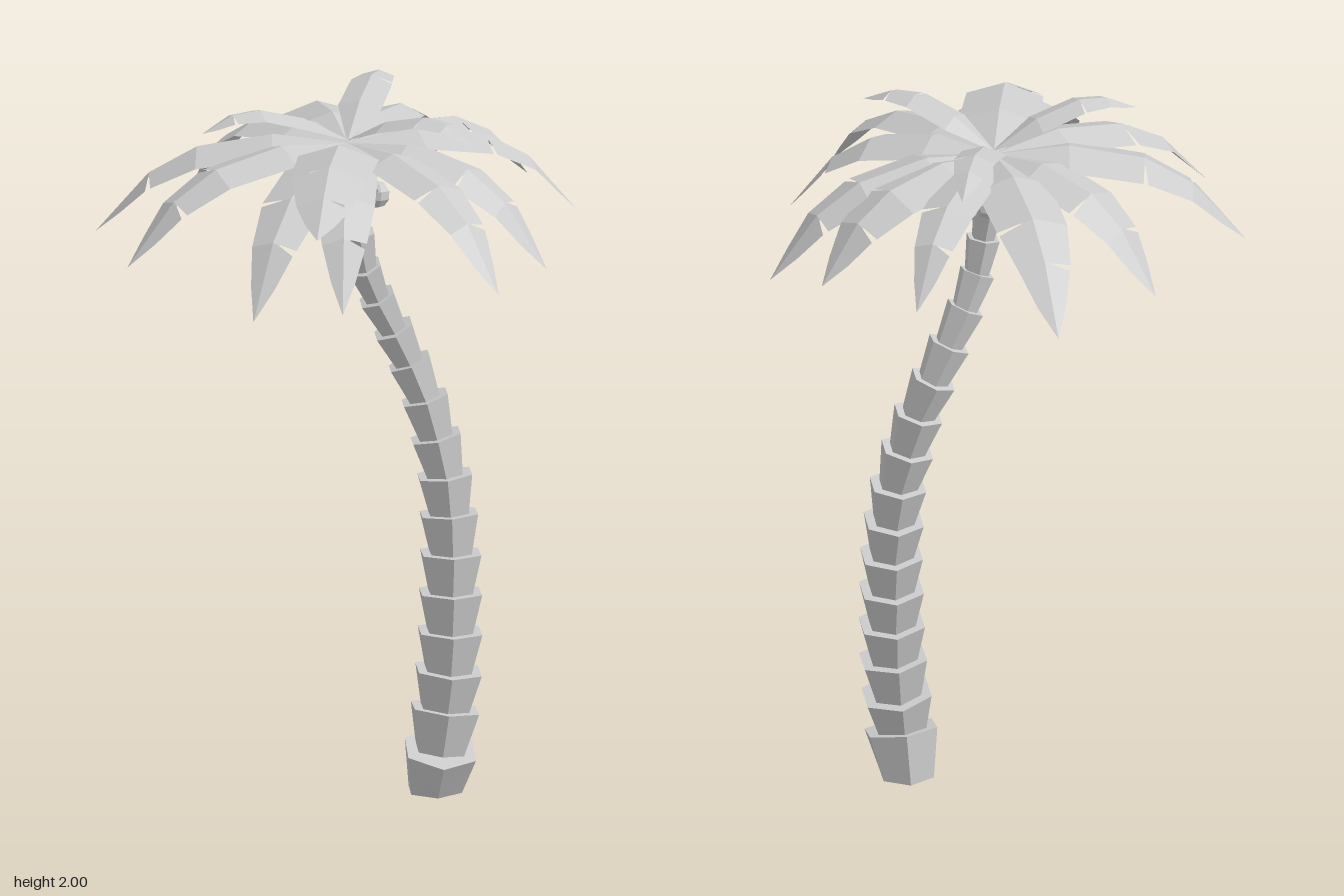
import * as THREE from 'three';

const bark = new THREE.MeshStandardMaterial({ color: 0xcccccc, flatShading: true });
const leafMat = new THREE.MeshStandardMaterial({ color: 0xcccccc, flatShading: true, side: THREE.DoubleSide });
const CROWN = new THREE.Vector3(0.05, 1.84, -0.025);

// Trunk joints: x, y, z, rim radius
const JOINTS = [
  [0.285, 0, -0.07, 0.1], [0.303, 0.125, -0.046, 0.108], [0.313, 0.235, -0.06, 0.103], [0.322, 0.345, -0.066, 0.1],
  [0.325, 0.455, -0.075, 0.097], [0.325, 0.565, -0.085, 0.095], [0.324, 0.675, -0.096, 0.092], [0.317, 0.785, -0.108, 0.088],
  [0.305, 0.895, -0.114, 0.083], [0.28, 1.005, -0.116, 0.077], [0.25, 1.115, -0.115, 0.072], [0.209, 1.22, -0.11, 0.066],
  [0.168, 1.32, -0.09, 0.061], [0.126, 1.42, -0.063, 0.055], [0.096, 1.515, -0.034, 0.051], [0.08, 1.615, -0.021, 0.049],
  [0.065, 1.72, -0.02, 0.045], [0.05, 1.85, -0.025, 0.04],
];

// One flared six-sided ring of bark between two joints
function trunkSegment(a, b, first) {
  const p = new THREE.Vector3(a[0], a[1], a[2]);
  const q = new THREE.Vector3(b[0], b[1], b[2]);
  const dir = q.clone().sub(p);
  const length = dir.length();
  const geo = new THREE.CylinderGeometry(b[3], b[3] * (first ? 0.75 : 0.7), length + (first ? 0 : 0.012), 6);
  geo.rotateY(Math.PI / 12);
  geo.applyQuaternion(new THREE.Quaternion().setFromUnitVectors(new THREE.Vector3(0, 1, 0), dir.normalize()));
  const mid = p.add(q).multiplyScalar(0.5);
  geo.translate(mid.x, mid.y, mid.z);
  if (first) {
    // Flatten the foot onto the ground
    const pos = geo.attributes.position;
    for (let i = 0; i < pos.count; i++) if (pos.getY(i) < 0.06) pos.setY(i, 0);
  }
  const mesh = new THREE.Mesh(geo, bark);
  mesh.name = 'trunkSegment';
  return mesh;
}

// Rib stations along a frond, and the height above the crown at each
const RIB_T = [0, 0.3, 0.6, 0.79, 1];
const DROOP = [0.04, 0.064, 0.026, -0.05, -0.22];
const ARCH = [0.05, 0.125, 0.162, 0.155, 0.11];
const MEDIUM = [0.04, 0.095, 0.092, 0.04, -0.04];

// Half-outlines as [t, width]; each side has one narrow slit
const SIDE_A = [[0, 0.06], [0.1, 0.38], [0.3, 1], [0.592, 0.95], [0.598, 0.3], [0.602, 0.3], [0.612, 0.92], [0.79, 0.68], [0.9, 0.38], [1, 0]];
const SIDE_B = [[0, 0.06], [0.1, 0.38], [0.3, 1], [0.6, 0.94], [0.78, 0.72], [0.787, 0.2], [0.791, 0.2], [0.801, 0.66], [0.9, 0.38], [1, 0]];

function riseAt(curve, t) {
  let i = 0;
  while (i < RIB_T.length - 2 && t > RIB_T[i + 1]) i++;
  return THREE.MathUtils.mapLinear(t, RIB_T[i], RIB_T[i + 1], curve[i], curve[i + 1]);
}

// Frond folded down along its rib, from the crown out to a tip
function frond([tx, ty, tz, halfWidth, curve]) {
  const dx = tx - CROWN.x, dz = tz - CROWN.z;
  const len = Math.hypot(dx, dz);
  const across = [-dz / len, dx / len];
  const fix = ty - CROWN.y - curve[4];
  const verts = [];
  const rib = (t) => [CROWN.x + dx * t, CROWN.y + riseAt(curve, t) + fix * t * t, CROWN.z + dz * t];
  for (const [side, outline] of [[1, SIDE_A], [-1, SIDE_B]]) {
    const edge = ([t, w]) => {
      const [x, y, z] = rib(t);
      const s = side * w * halfWidth;
      return [x + across[0] * s, y - 0.34 * w * halfWidth, z + across[1] * s];
    };
    for (let i = 0; i < outline.length - 1; i++) {
      const r0 = rib(outline[i][0]), r1 = rib(outline[i + 1][0]);
      const e0 = edge(outline[i]), e1 = edge(outline[i + 1]);
      if (side > 0) verts.push(...r0, ...e0, ...e1, ...r0, ...e1, ...r1);
      else verts.push(...r0, ...e1, ...e0, ...r0, ...r1, ...e1);
    }
  }
  const geo = new THREE.BufferGeometry();
  geo.setAttribute('position', new THREE.Float32BufferAttribute(verts, 3));
  geo.computeVertexNormals();
  const mesh = new THREE.Mesh(geo, leafMat);
  mesh.name = 'frond';
  return mesh;
}

// Frond tips: x, y, z, half width, rib curve
const FRONDS = [
  [-0.19, 1.625, -0.635, 0.105, DROOP], [-0.43, 1.625, -0.35, 0.092, DROOP], [-0.637, 1.615, 0.055, 0.103, DROOP],
  [-0.497, 1.63, 0.382, 0.092, DROOP], [-0.108, 1.58, 0.632, 0.092, DROOP], [0.134, 1.6, 0.595, 0.088, DROOP],
  [0.54, 1.62, 0.424, 0.085, DROOP], [0.63, 1.605, 0.15, 0.095, DROOP], [0.635, 1.615, -0.33, 0.095, DROOP],
  [0.48, 1.665, -0.458, 0.105, DROOP], [0.205, 1.665, -0.595, 0.078, DROOP],
  [0.055, 1.795, 0.545, 0.112, MEDIUM],
  [-0.325, 1.95, 0.16, 0.055, ARCH], [0.095, 1.93, -0.435, 0.062, ARCH], [0.425, 1.95, 0.14, 0.055, ARCH],
];

// Coconut positions
const NUTS = [[0.03, 1.735, 0.015], [0.1, 1.76, -0.015], [0.06, 1.75, -0.088], [0.125, 1.725, -0.055]];

export function createModel() {
  const model = new THREE.Group();
  model.name = 'palmTree';

  const trunk = new THREE.Group();
  trunk.name = 'trunk';
  for (let i = 0; i < JOINTS.length - 1; i++) trunk.add(trunkSegment(JOINTS[i], JOINTS[i + 1], i === 0));

  const crown = new THREE.Group();
  crown.name = 'crown';
  FRONDS.forEach((f) => crown.add(frond(f)));

  const coconuts = new THREE.Group();
  coconuts.name = 'coconuts';
  NUTS.forEach(([x, y, z], i) => {
    const nut = new THREE.Mesh(new THREE.SphereGeometry(0.038, 7, 5), bark);
    nut.name = 'coconut';
    nut.position.set(x, y, z);
    nut.rotation.set(i, i * 2, 0);
    coconuts.add(nut);
  });

  model.add(trunk, crown, coconuts);
  return model;
}
